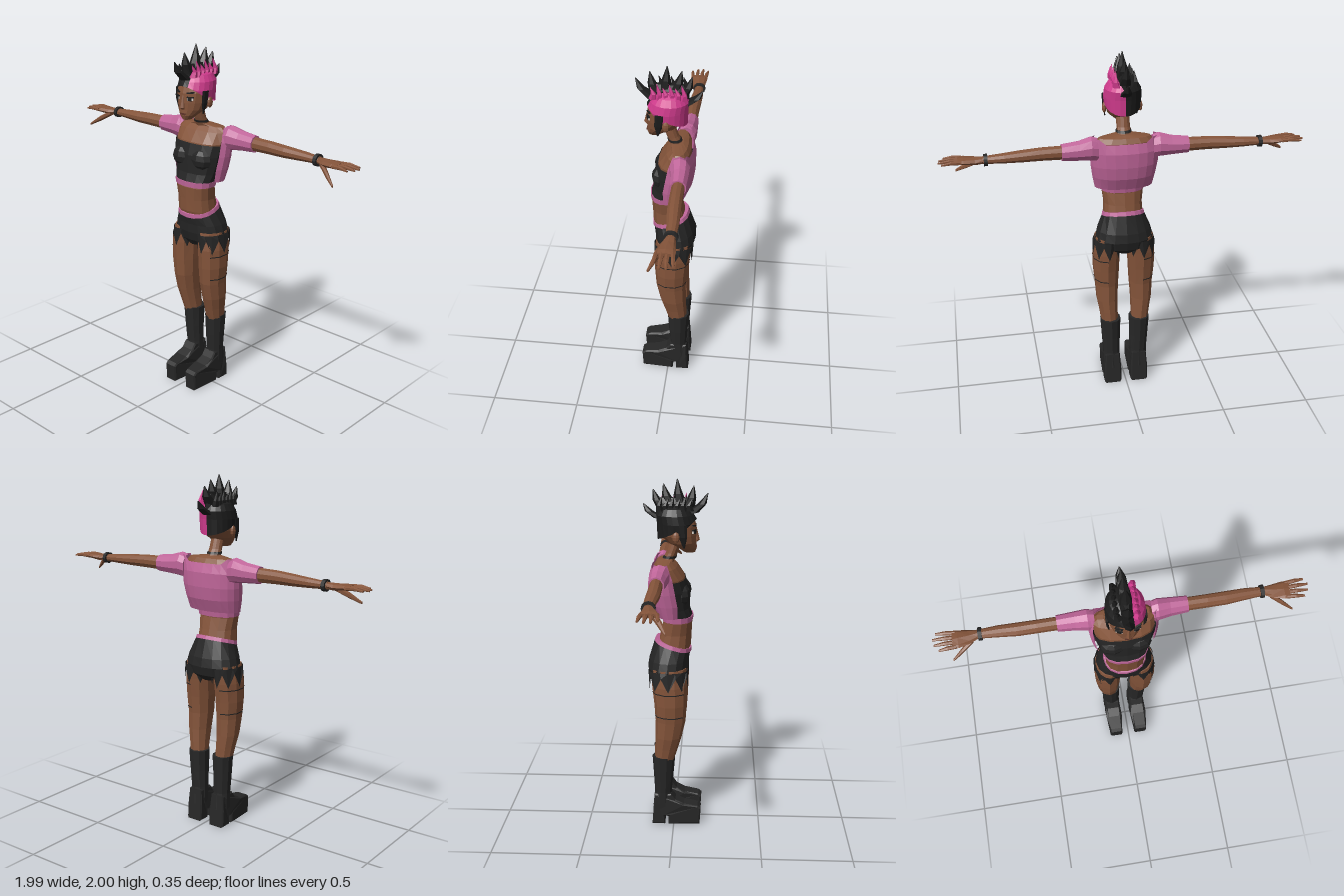
import * as THREE from 'three';

const paint = (name, color, side = THREE.FrontSide) =>
  Object.assign(new THREE.MeshStandardMaterial({ color, flatShading: true, side }), { name });

// Skin of cross-sections. Ring: [t, u, v, ru, rv]; axis 'y' uses u=x, v=z; axis 'x' uses u=z, v=y.
function loft(rings, { axis = 'y', n = 12, from = 0, to = 360, p = 1, cap = true, warp } = {}) {
  const pos = [], idx = [], full = to - from === 360, v3 = new THREE.Vector3();
  const put = (t, u, v) => (axis === 'y' ? v3.set(u, t, v) : v3.set(t, v, u));
  const bend = (x) => Math.sign(x) * Math.abs(x) ** p;
  rings.forEach(([t, u, v, ru, rv], i) => {
    for (let j = 0; j <= n; j++) {
      const a = THREE.MathUtils.degToRad(from + ((to - from) * (full ? j % n : j)) / n);
      put(t, u + ru * bend(Math.sin(a)), v + rv * bend(Math.cos(a)));
      if (warp) warp(v3, i, j);
      pos.push(v3.x, v3.y, v3.z);
    }
  });
  const w = n + 1, last = rings.length - 1;
  for (let i = 0; i < last; i++)
    for (let j = 0; j < n; j++) {
      const a = i * w + j;
      idx.push(a, a + 1, a + w, a + 1, a + w + 1, a + w);
    }
  if (cap && full)
    for (const i of [0, last]) {
      put(...rings[i]);
      if (warp) warp(v3, i, 0);
      const c = pos.push(v3.x, v3.y, v3.z) / 3 - 1;
      for (let j = 0; j < n; j++) {
        const a = i * w + j;
        idx.push(...(i ? [a, a + 1, c] : [a + 1, a, c]));
      }
    }
  const g = new THREE.BufferGeometry();
  g.setAttribute('position', new THREE.Float32BufferAttribute(pos, 3));
  g.setIndex(idx);
  g.computeVertexNormals();
  return g;
}

// Copy reflected in x, with the corner order restored
function mirror(geo) {
  const g = geo.index ? geo.toNonIndexed() : geo.clone(), p = g.attributes.position;
  g.scale(-1, 1, 1);
  for (let i = 0; i < p.count; i += 3) {
    const a = new THREE.Vector3().fromBufferAttribute(p, i + 1);
    p.setXYZ(i + 1, p.getX(i + 2), p.getY(i + 2), p.getZ(i + 2));
    p.setXYZ(i + 2, a.x, a.y, a.z);
  }
  g.computeVertexNormals();
  return g;
}

export function createModel() {
  const model = new THREE.Group();
  const skin = paint('skin', 0x84543a);
  const cloth = paint('black cloth', 0x242424, THREE.DoubleSide);
  const leather = paint('black leather', 0x272727);
  const pink = paint('pink cloth', 0xc0669a, THREE.DoubleSide);
  const black = paint('black hair', 0x1c1c1c, THREE.DoubleSide);
  const hot = paint('hot pink hair', 0xcf3a8c, THREE.DoubleSide);
  const white = paint('eye white', 0xd8d0c8);
  const lip = paint('lip', 0x5e3328);

  const add = (name, geo, mat) => {
    const m = new THREE.Mesh(geo, mat);
    m.name = name;
    model.add(m);
  };
  const pair = (name, geo, mat) => {
    add(name + 'Left', geo, mat);
    add(name + 'Right', mirror(geo), mat);
  };
  const plate = (w, h, d, x, y, z, ry = 0, rz = 0) =>
    new THREE.BoxGeometry(w, h, d).rotateZ(rz).rotateY(ry).translate(x, y, z);

  // Torso and neck
  add('torso', loft([
    [1.0, 0, -0.02, 0.125, 0.09], [1.08, 0, 0, 0.112, 0.093], [1.15, 0, 0.01, 0.108, 0.086],
    [1.22, 0, 0.02, 0.117, 0.08], [1.3, 0, 0, 0.128, 0.08], [1.4, 0, -0.02, 0.15, 0.088],
    [1.47, 0, -0.03, 0.163, 0.088], [1.53, 0, -0.05, 0.165, 0.066], [1.555, 0, -0.055, 0.14, 0.045],
    [1.567, 0, -0.04, 0.045, 0.035]], { n: 14, p: 0.85 }), skin);
  add('neck', loft([[1.54, 0, -0.045, 0.042, 0.036], [1.6, 0, -0.015, 0.037, 0.032],
    [1.67, 0, 0.01, 0.036, 0.034]]), skin);
  add('choker', loft([[1.572, 0, -0.028, 0.043, 0.038], [1.584, 0, -0.022, 0.042, 0.037]]), cloth);

  // Cropped top
  add('cropTop', loft([
    [1.25, 0, 0.016, 0.122, 0.086], [1.3, 0, -0.002, 0.136, 0.088], [1.35, 0, -0.012, 0.15, 0.096],
    [1.4, 0, -0.016, 0.16, 0.097], [1.465, 0, -0.03, 0.171, 0.093]], { n: 14, p: 0.85, cap: false }), cloth);
  pair('bust', new THREE.SphereGeometry(1, 8, 6).scale(0.07, 0.06, 0.045).translate(0.068, 1.38, 0.047), cloth);
  add('topHem', loft([[1.225, 0, 0.018, 0.122, 0.086], [1.255, 0, 0.017, 0.125, 0.089]],
    { n: 14, p: 0.85 }), pink);

  // Open bolero jacket with a scooped back neckline
  add('jacket', loft([
    [1.26, 0, -0.02, 0.162, 0.078], [1.33, 0, -0.03, 0.176, 0.098], [1.4, 0, -0.042, 0.186, 0.097],
    [1.48, 0, -0.052, 0.19, 0.088], [1.562, 0, -0.065, 0.182, 0.06]],
  { n: 14, from: 60, to: 300, p: 0.9, warp: (v, i) => { if (i === 4 && Math.abs(v.x) < 0.13) v.y -= 0.03; } }), pink);
  pair('sleeve', loft([
    [0.15, -0.07, 1.495, 0.05, 0.066], [0.185, -0.072, 1.503, 0.056, 0.069],
    [0.25, -0.078, 1.498, 0.049, 0.056], [0.345, -0.08, 1.495, 0.043, 0.047]], { axis: 'x', n: 10 }), pink);

  // Arms, wristbands and hands
  pair('arm', loft([
    [0.3, -0.08, 1.495, 0.035, 0.04], [0.45, -0.08, 1.495, 0.035, 0.037], [0.55, -0.082, 1.492, 0.036, 0.033],
    [0.65, -0.088, 1.49, 0.032, 0.027], [0.76, -0.09, 1.488, 0.024, 0.02]], { axis: 'x', n: 10 }), skin);
  pair('wristband', loft([[0.735, -0.09, 1.488, 0.036, 0.032], [0.755, -0.09, 1.488, 0.036, 0.032]],
    { axis: 'x' }), leather);
  pair('palm', loft([
    [0.75, -0.09, 1.488, 0.023, 0.018], [0.8, -0.083, 1.485, 0.038, 0.02], [0.86, -0.078, 1.49, 0.05, 0.016],
    [0.89, -0.077, 1.491, 0.049, 0.011]], { axis: 'x', n: 8 }), skin);
  [[-0.115, -0.125, 0.975], [-0.09, -0.094, 0.993], [-0.064, -0.062, 0.988], [-0.039, -0.03, 0.965]]
    .forEach(([z0, z1, x], i) => pair('finger' + (i + 1), loft([
      [0.87, z0, 1.49, 0.012, 0.011], [(0.87 + x) / 2, (z0 + z1) / 2, 1.493, 0.011, 0.01],
      [x, z1, 1.487, 0.006, 0.005]], { axis: 'x', n: 6 }), skin));
  pair('thumb', loft([[0.785, -0.07, 1.48, 0.02, 0.016], [0.85, -0.03, 1.44, 0.014, 0.016],
    [0.905, 0, 1.403, 0.006, 0.007]], { axis: 'x', n: 6 }), skin);

  // Shorts: waist rises to the back, hem is torn
  const slant = (v) => { if (v.y > 1.04) v.y -= 0.3 * v.z; };
  add('shorts', loft([
    [0.865, 0, -0.03, 0.05, 0.075], [0.9, 0, -0.035, 0.145, 0.103], [0.95, 0, -0.035, 0.165, 0.115],
    [1.0, 0, -0.03, 0.152, 0.112], [1.08, 0, -0.008, 0.117, 0.1]], { n: 16, p: 0.9, warp: slant }), cloth);
  add('waistband', loft([[1.07, 0, -0.008, 0.122, 0.104], [1.092, 0, -0.004, 0.117, 0.1]],
    { n: 16, p: 0.9, warp: slant }), pink);
  pair('shortsLeg', loft([[0.875, 0.098, -0.028, 0.08, 0.108], [0.95, 0.088, -0.032, 0.08, 0.111]],
    { n: 16, cap: false, warp: (v, i, j) => { if (!i) v.y += j % 2 ? 0.045 : -0.035; } }), cloth);

  // Legs with thin lines around the outer thigh
  pair('leg', loft([
    [0.4, 0.088, -0.055, 0.05, 0.055], [0.48, 0.094, -0.042, 0.055, 0.066], [0.55, 0.1, -0.03, 0.062, 0.075],
    [0.65, 0.1, -0.018, 0.068, 0.085], [0.75, 0.102, -0.018, 0.076, 0.092], [0.86, 0.1, -0.022, 0.077, 0.1],
    [0.96, 0.085, -0.03, 0.08, 0.1]], { n: 10 }), skin);
  [[0.68, 0.1, -0.018, 0.073, 0.09], [0.82, 0.101, -0.02, 0.079, 0.099]].forEach(([y, ...r], i) =>
    pair('thighLine' + (i + 1), loft([[y, ...r], [y + 0.006, ...r]], { n: 4, from: 36, to: 180 }), cloth));

  // Platform boots
  pair('bootShaft', loft([
    [0.1, 0.079, -0.066, 0.05, 0.055], [0.2, 0.08, -0.062, 0.05, 0.049], [0.3, 0.083, -0.06, 0.054, 0.056],
    [0.425, 0.085, -0.06, 0.06, 0.064]], { n: 10 }), leather);
  const side = new THREE.Shape([
    [-0.125, 0], [-0.05, 0], [-0.05, 0.05], [-0.03, 0.05], [-0.03, 0], [0.152, 0], [0.158, 0.1], [0.14, 0.115],
    [0.06, 0.13], [0.01, 0.155], [-0.015, 0.19], [-0.112, 0.19], [-0.118, 0.1]].map((c) => new THREE.Vector2(...c)));
  const foot = new THREE.ExtrudeGeometry(side, { depth: 0.084, bevelSize: 0.008, bevelThickness: 0.008,
    bevelOffset: -0.008, bevelSegments: 1 }).rotateY(-Math.PI / 2).translate(0.042, 0, 0);
  const fp = foot.attributes.position;
  for (let i = 0; i < fp.count; i++) {
    const z = fp.getZ(i), y = fp.getY(i);
    fp.setX(i, fp.getX(i) * (z > 0.12 ? 0.78 : y > 0.125 ? 0.85 : 1) + 0.079);
  }
  foot.computeVertexNormals();
  pair('bootFoot', foot, leather);

  // Head and face
  add('head', loft([
    [1.605, 0, 0.083, 0.022, 0.03], [1.63, 0, 0.07, 0.048, 0.052], [1.66, 0, 0.04, 0.076, 0.08],
    [1.7, 0, 0.022, 0.09, 0.099], [1.75, 0, 0.015, 0.097, 0.104], [1.8, 0, 0.005, 0.094, 0.1],
    [1.84, 0, 0, 0.074, 0.08], [1.86, 0, 0, 0.04, 0.045]], { n: 16 }), skin);
  add('nose', loft([[1.663, 0, 0.114, 0.014, 0.012], [1.674, 0, 0.118, 0.015, 0.02],
    [1.74, 0, 0.112, 0.006, 0.009]], { n: 6 }), skin);
  add('mouth', plate(0.036, 0.009, 0.008, 0, 1.638, 0.119), lip);
  pair('eyeWhite', plate(0.034, 0.016, 0.008, 0.045, 1.722, 0.108, 0.4), white);
  pair('iris', plate(0.022, 0.018, 0.008, 0.044, 1.722, 0.111, 0.4), black);
  pair('eyelid', plate(0.04, 0.006, 0.009, 0.046, 1.732, 0.109, 0.4), black);
  pair('eyebrow', plate(0.042, 0.007, 0.009, 0.046, 1.756, 0.107, 0.4, 0.12), black);
  pair('ear', new THREE.SphereGeometry(1, 8, 6).scale(0.012, 0.03, 0.02).translate(0.098, 1.7, 0.012), skin);

  // Two-tone close hair
  const hairline = (v, i) => {
    if (i < 2) v.y = Math.max(v.y, 1.72 + (v.z - 0.035) * 0.8);
    if (i === 0 && v.z < 0) v.y += v.z * 0.45;
  };
  const cap = [[1.72, 0, 0.014, 0.099, 0.107], [1.765, 0, 0.012, 0.103, 0.108], [1.81, 0, 0.002, 0.098, 0.104],
    [1.845, 0, 0, 0.077, 0.083], [1.87, 0, 0, 0.03, 0.035]];
  add('pinkSideHair', loft(cap, { n: 10, from: 18, to: 180, warp: hairline }), hot);
  add('blackSideHair', loft(cap, { n: 12, from: 180, to: 378, warp: hairline }), black);
  pair('sideLock', loft([[1.64, 0.088, 0.055, 0.003, 0.004], [1.7, 0.096, 0.05, 0.007, 0.022],
    [1.765, 0.097, 0.042, 0.008, 0.028]], { n: 6 }), black);

  // Crest of curved spikes: base z, base y, tip z, tip y
  add('crestBase', loft([[1.82, 0, 0, 0.036, 0.1], [1.87, 0, 0, 0.034, 0.1], [1.9, 0, 0, 0.018, 0.08]]), black);
  [[0.09, 1.82, 0.18, 1.925], [0.07, 1.85, 0.105, 1.965], [0.03, 1.86, 0.015, 2.0], [-0.015, 1.86, -0.06, 1.975],
    [-0.055, 1.84, -0.115, 1.945], [-0.075, 1.79, -0.17, 1.87]].forEach(([z, y, tz, ty], i) =>
    add('crestSpike' + (i + 1), loft([
      [y, 0, z, 0.034, 0.04], [y + (ty - y) * 0.45, 0, z + (tz - z) * 0.65, 0.026, 0.024],
      [ty, 0, tz, 0.002, 0.002]], { n: 6 }), black));

  // Small tufts beside the crest
  for (let i = 0; i < 6; i++) {
    const z = 0.085 - i * 0.032, h = 0.03 + (i % 2) * 0.02;
    const tuft = loft([[1.835, 0.045, z, 0.022, 0.022], [1.865, 0.052, z - 0.005, 0.014, 0.014],
      [1.87 + h, 0.048, z + 0.012, 0.001, 0.001]], { n: 5 });
    add('pinkTuft' + (i + 1), tuft, hot);
    add('blackTuft' + (i + 1), mirror(tuft), black);
  }
  return model;
}
